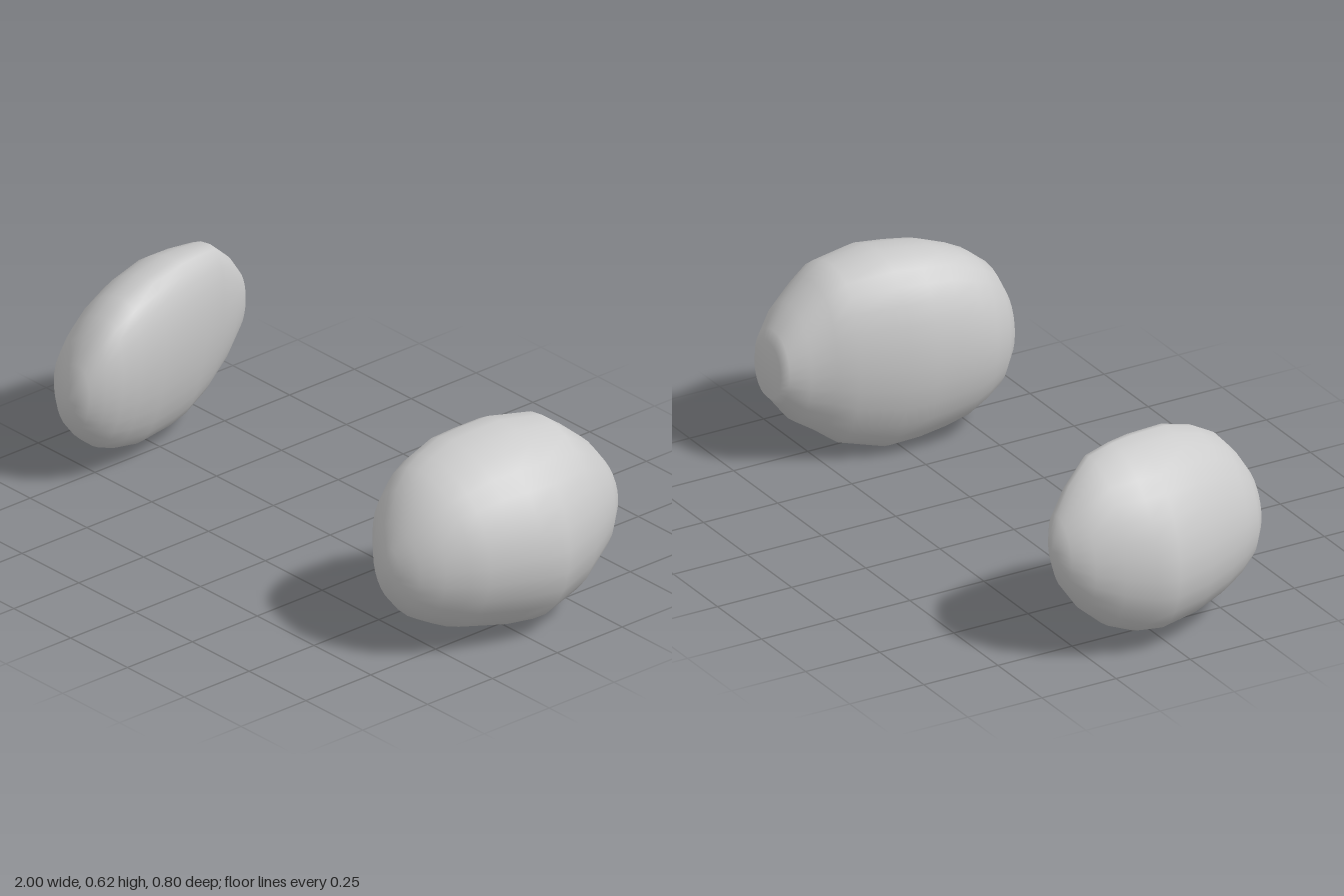
import * as THREE from 'three';

const SIDES = 28;

// Rounded pebble lofted through cross-sections along z.
// Each section: [z, xMin, xMax, yMin, yMax, crownX], crownX being the x of the highest/lowest points.
// lean shears the section sideways with height; squareMin / squareMax fill out the -x / +x side.
function pebble(name, sections, lean, squareMin, squareMax) {
  const pos = [], index = [];
  for (const [z, x0, x1, y0, y1, cx] of sections) {
    const cy = (y0 + y1) / 2, ry = (y1 - y0) / 2;
    for (let j = 0; j < SIDES; j++) {
      const t = (j / SIDES) * Math.PI * 2, c = Math.cos(t), s = Math.sin(t);
      const reach = c > 0 ? Math.pow(c, squareMax) * (x1 - cx) : -Math.pow(-c, squareMin) * (cx - x0);
      pos.push(cx + reach + lean * s * ry, cy + s * ry, z);
    }
  }
  const n = sections.length;
  for (let i = 0; i < n - 1; i++) {
    for (let j = 0; j < SIDES; j++) {
      const k = (j + 1) % SIDES;
      const a = i * SIDES + j, b = i * SIDES + k;
      index.push(a, b, a + SIDES, b, b + SIDES, a + SIDES);
    }
  }
  // blunt end caps
  const caps = [[0, -0.004], [n - 1, 0.004]];
  for (const [i, dz] of caps) {
    const [z, x0, x1, y0, y1] = sections[i];
    const centre = pos.length / 3;
    pos.push((x0 + x1) / 2, (y0 + y1) / 2, z + dz);
    for (let j = 0; j < SIDES; j++) {
      const a = i * SIDES + j, b = i * SIDES + ((j + 1) % SIDES);
      if (i === 0) index.push(centre, b, a);
      else index.push(centre, a, b);
    }
  }
  const g = new THREE.BufferGeometry();
  g.setAttribute('position', new THREE.Float32BufferAttribute(pos, 3));
  g.setIndex(index);
  g.computeVertexNormals();
  const mesh = new THREE.Mesh(g, new THREE.MeshStandardMaterial({ color: 0xcccccc }));
  mesh.name = name;
  return mesh;
}

export function createModel() {
  const group = new THREE.Group();
  group.name = 'pebblePair';

  // larger, fuller pebble with a blunt back
  group.add(pebble('leftPebble', [
    [-0.394, 0.66, 0.81, 0.22, 0.40, 0.74],
    [-0.375, 0.64, 0.84, 0.20, 0.43, 0.74],
    [-0.32, 0.61, 0.89, 0.13, 0.50, 0.74],
    [-0.25, 0.58, 0.93, 0.085, 0.56, 0.73],
    [-0.19, 0.55, 0.96, 0.04, 0.605, 0.72],
    [-0.05, 0.505, 1.0, 0.003, 0.627, 0.70],
    [0.04, 0.495, 0.985, 0.012, 0.62, 0.69],
    [0.12, 0.49, 0.965, 0.03, 0.61, 0.68],
    [0.2, 0.495, 0.935, 0.05, 0.58, 0.68],
    [0.25, 0.51, 0.905, 0.075, 0.555, 0.68],
    [0.31, 0.54, 0.865, 0.11, 0.505, 0.69],
    [0.36, 0.60, 0.81, 0.165, 0.42, 0.70],
    [0.385, 0.65, 0.75, 0.22, 0.36, 0.70],
    [0.393, 0.68, 0.72, 0.26, 0.32, 0.70],
  ], -0.02, 0.85, 1));

  // slimmer pebble with a flat inner face
  group.add(pebble('rightPebble', [
    [-0.348, -0.83, -0.78, 0.31, 0.41, -0.80],
    [-0.325, -0.875, -0.745, 0.24, 0.46, -0.80],
    [-0.27, -0.92, -0.72, 0.16, 0.53, -0.79],
    [-0.19, -0.955, -0.69, 0.09, 0.60, -0.78],
    [-0.1, -0.985, -0.665, 0.05, 0.612, -0.765],
    [-0.03, -0.995, -0.645, 0.04, 0.615, -0.755],
    [0.1, -0.957, -0.615, 0.045, 0.605, -0.73],
    [0.2, -0.915, -0.605, 0.07, 0.575, -0.72],
    [0.27, -0.88, -0.605, 0.10, 0.535, -0.71],
    [0.32, -0.85, -0.62, 0.14, 0.48, -0.71],
    [0.365, -0.79, -0.645, 0.19, 0.41, -0.71],
    [0.385, -0.74, -0.68, 0.25, 0.35, -0.71],
  ], 0.13, 1, 0.9));

  return group;
}
